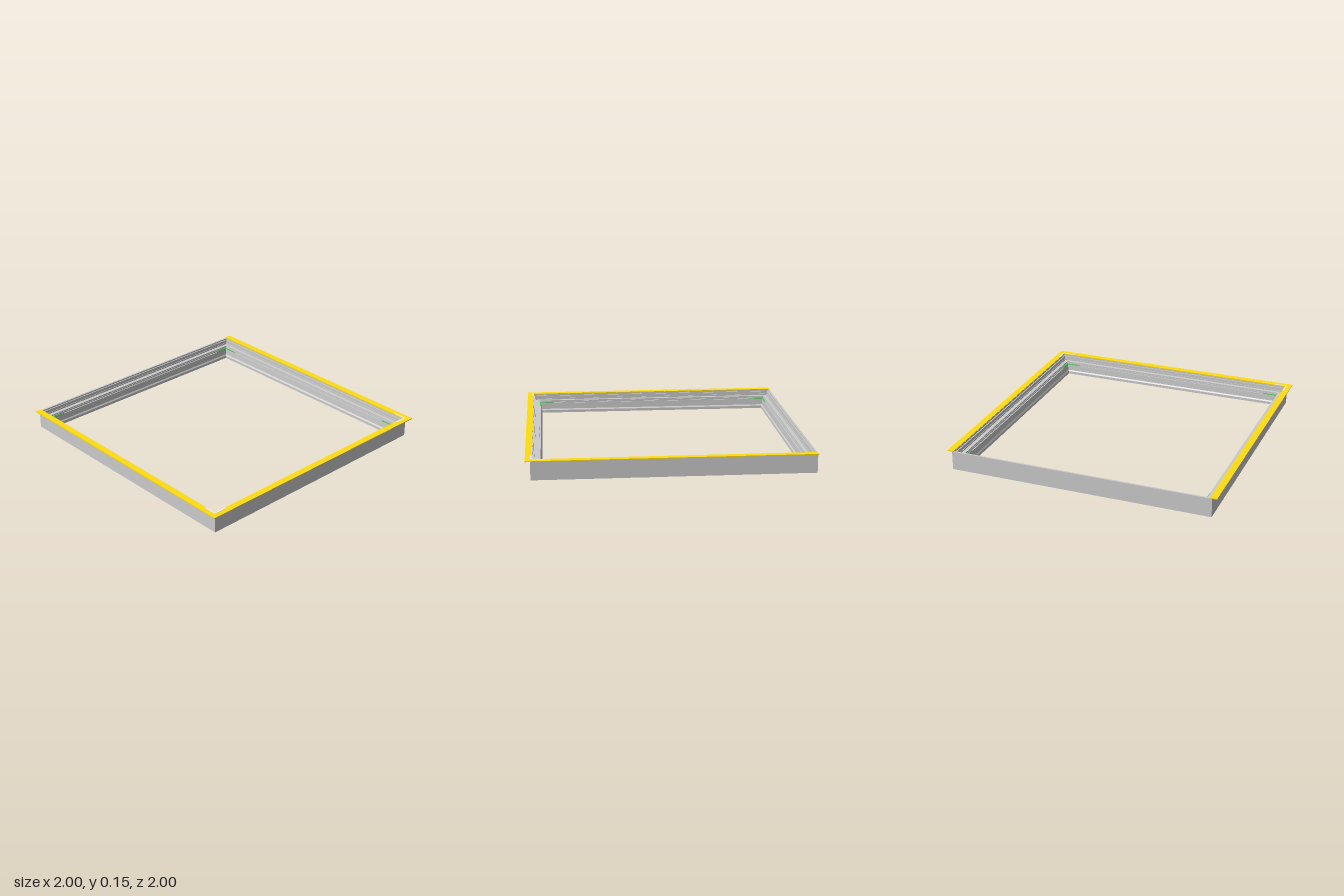
import * as THREE from 'three';

const OUT = 0.965;   // outer half width and front edge of the frame
const BACK = 1.0;    // the back wall reaches further than the front wall

// Corners of the frame rectangle inset by d, counterclockwise seen from above
const corners = (d, y) => [
  [-(OUT - d), y, OUT - d], [OUT - d, y, OUT - d],
  [OUT - d, y, -(BACK - d)], [-(OUT - d), y, -(BACK - d)],
];

// Sweep a closed profile of [inset, height] points around the mitred rectangle
function mitredFrame(profile) {
  const pos = [];
  profile.forEach(([d, y], i) => {
    const [d2, y2] = profile[(i + 1) % profile.length];
    const low = corners(d, y), high = corners(d2, y2);
    for (let k = 0; k < 4; k++) {
      const n = (k + 1) % 4;
      pos.push(...low[k], ...low[n], ...high[n], ...low[k], ...high[n], ...high[k]);
    }
  });
  const geo = new THREE.BufferGeometry();
  geo.setAttribute('position', new THREE.Float32BufferAttribute(pos, 3));
  geo.computeVertexNormals();
  return geo;
}

// Flat plate from [x, z] outline points, lying with its underside at height y
function plate(points, y, thickness) {
  const shape = new THREE.Shape(points.map(([x, z]) => new THREE.Vector2(x, -z)));
  const geo = new THREE.ExtrudeGeometry(shape, { depth: thickness, bevelEnabled: false });
  return geo.rotateX(-Math.PI / 2).translate(0, y, 0);
}

// L-shaped outline with its outer corner at (x, z), arms pointing to the centre
function cornerL(x, z, arm, w) {
  const sx = -Math.sign(x), sz = -Math.sign(z);
  return [
    [x, z], [x + sx * arm, z], [x + sx * arm, z + sz * w],
    [x + sx * w, z + sz * w], [x + sx * w, z + sz * arm], [x, z + sz * arm],
  ];
}

export function createModel() {
  const group = new THREE.Group();
  const grey = new THREE.MeshStandardMaterial({ color: 0xcccccc });
  const yellow = new THREE.MeshStandardMaterial({ color: 0xffdd11 });
  const green = new THREE.MeshStandardMaterial({ color: 0x33cc44 });
  const white = new THREE.MeshStandardMaterial({ color: 0xf0f0f4 });
  const add = (name, geo, mat) => {
    const mesh = new THREE.Mesh(geo, mat);
    mesh.name = name;
    group.add(mesh);
  };

  // Stepped frame: outer wall, rib, ledge, groove and inner wall
  add('frame', mitredFrame([
    [0, 0], [0, 0.139], [0.014, 0.139], [0.014, 0.128], [0.022, 0.128],
    [0.022, 0.1], [0.026, 0.1], [0.026, 0.108], [0.03, 0.108], [0.03, 0.098],
    [0.058, 0.098], [0.058, 0.088], [0.062, 0.088], [0.062, 0.078],
    [0.07, 0.078], [0.072, 0.03], [0.079, 0.02], [0.079, 0],
  ]), grey);

  // Yellow flange along the front and both sides, open at the back
  add('flange', plate([
    [-1, 1], [1, 1], [1, -1], [0.952, -1], [0.952, 0.952],
    [-0.952, 0.952], [-0.952, -1], [-1, -1],
  ], 0.139, 0.006), yellow);

  for (const s of [-1, 1]) {
    // Pale corner marks let into the flange
    add('flangeCornerMark', plate(cornerL(s * 0.965, 0.965, 0.1, 0.011), 0.14, 0.0062), white);
    // Green corner pieces on top of the inner wall
    for (const z of [OUT - 0.062, -(BACK - 0.062)]) {
      add('innerCornerPiece', plate(cornerL(s * (OUT - 0.062), z, 0.11, 0.008), 0.072, 0.009), green);
    }
  }
  return group;
}
